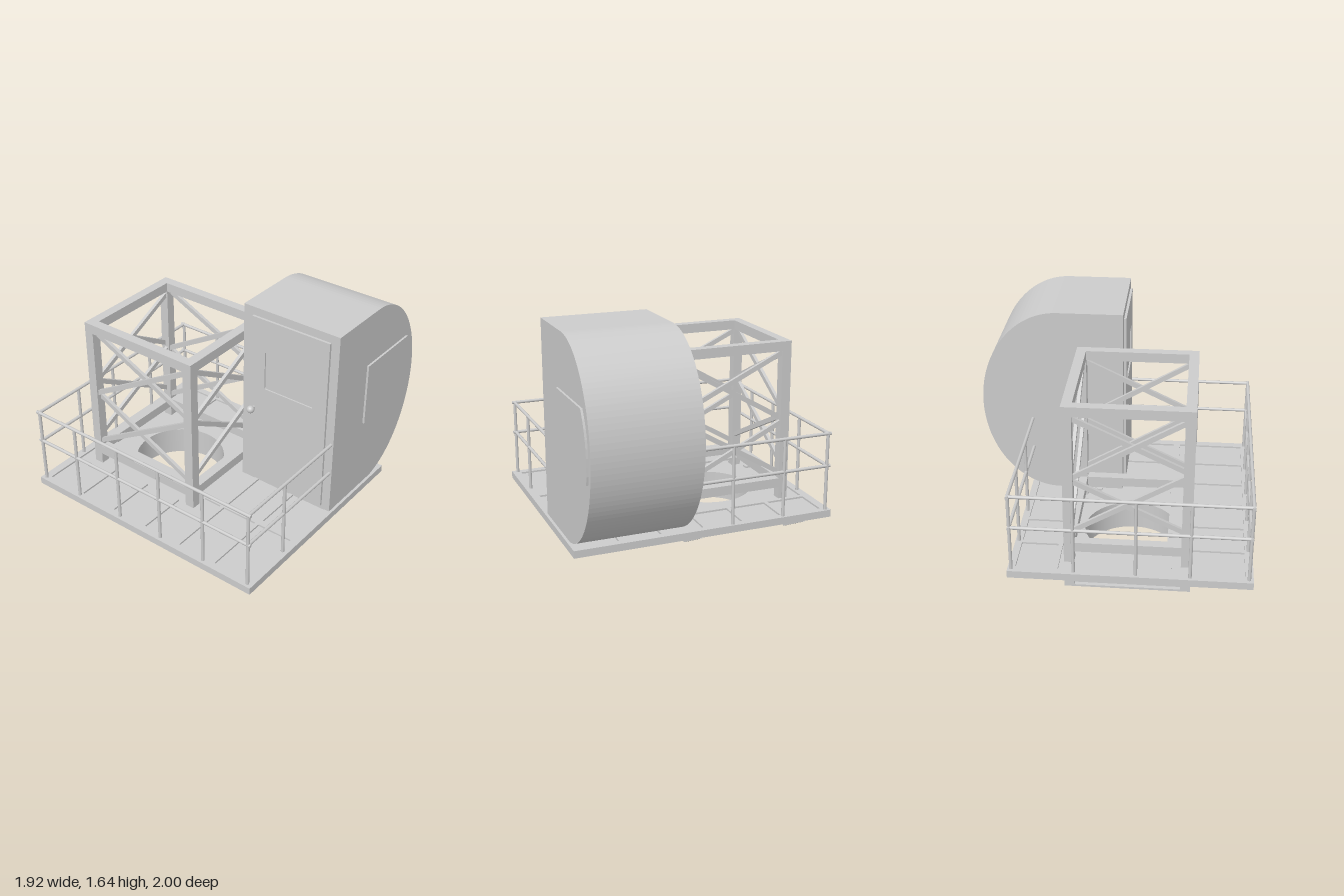
import * as THREE from 'three';

const grey = new THREE.MeshStandardMaterial({ color: 0xcccccc, flatShading: true });
const smooth = new THREE.MeshStandardMaterial({ color: 0xcccccc, side: THREE.DoubleSide });

export function createModel() {
  const model = new THREE.Group();
  const V = (x, y, z) => new THREE.Vector3(x, y, z);

  function group(name) {
    const g = new THREE.Group();
    g.name = name;
    model.add(g);
    return g;
  }
  function add(parent, name, geometry, material = grey) {
    const m = new THREE.Mesh(geometry, material);
    m.name = name;
    parent.add(m);
    return m;
  }
  // Box given by its limits on each axis
  function box(parent, name, x0, x1, y0, y1, z0, z1) {
    const m = add(parent, name, new THREE.BoxGeometry(x1 - x0, y1 - y0, z1 - z0));
    m.position.set((x0 + x1) / 2, (y0 + y1) / 2, (z0 + z1) / 2);
    return m;
  }
  // Square bar between two points
  function bar(parent, name, a, b, w = 0.035, d = w) {
    const m = add(parent, name, new THREE.BoxGeometry(w, d, a.distanceTo(b)));
    m.position.copy(a).lerp(b, 0.5);
    m.lookAt(b);
    return m;
  }
  // Round pipe between two points
  function pipe(parent, name, a, b, r = 0.012) {
    const m = add(parent, name, new THREE.CylinderGeometry(r, r, a.distanceTo(b), 12), smooth);
    m.position.copy(a).lerp(b, 0.5);
    m.quaternion.setFromUnitVectors(V(0, 1, 0), b.clone().sub(a).normalize());
    return m;
  }
  // Horizontal plate with the round hatch cut through it
  const hx = -0.335, hz = 0.14, hr = 0.33;
  function holedPlate(parent, name, x0, x1, y0, y1, z0, z1) {
    const s = new THREE.Shape([[x0, -z0], [x0, -z1], [x1, -z1], [x1, -z0]].map(p => new THREE.Vector2(...p)));
    s.holes.push(new THREE.Path().absarc(hx, -hz, hr, 0, Math.PI * 2, true));
    const g = new THREE.ExtrudeGeometry(s, { depth: y1 - y0, bevelEnabled: false, curveSegments: 48 });
    g.rotateX(-Math.PI / 2).translate(0, y0, 0);
    return add(parent, name, g);
  }

  // Tower limits
  const tx0 = -0.8, tx1 = 0.15, tz0 = -0.29, tz1 = 0.58, w = 0.07;

  // Deck: rim, thin floor and ribs showing on both faces
  const deck = group('deck');
  const y0 = 0.172, y1 = 0.225;
  holedPlate(deck, 'deckFloor', -0.93, 0.93, 0.192, 0.212, -0.63, 0.97);
  box(deck, 'rimFront', -0.96, 0.96, y0, y1, 0.945, 1);
  box(deck, 'rimBack', -0.96, 0.96, y0, y1, -0.66, -0.61);
  for (const s of [-1, 1]) box(deck, 'rimSide', s * 0.93 - 0.03, s * 0.93 + 0.03, y0, y1, -0.61, 0.945);
  const rib = (x0, x1, z0, z1) => box(deck, 'rib', x0, x1, y0, y1, z0, z1);
  for (const x of [-0.595, -0.295, 0, 0.31, 0.615]) {
    const inTower = x < tx1;
    rib(x - 0.015, x + 0.015, inTower ? tz1 : 0.45, 0.945);
    rib(x - 0.015, x + 0.015, -0.61, -0.35);
    if (!inTower) rib(x - 0.015, x + 0.015, -0.32, 0.4);
  }
  rib(-0.9, tx0, 0.4, 0.45);
  rib(tx1, 0.9, 0.4, 0.45);
  rib(-0.9, 0.9, -0.35, -0.32);
  rib(tx1, 0.9, -0.16, -0.12);

  // Base box under the deck with a round shaft through it
  const base = group('base');
  holedPlate(base, 'bottomPlate', -0.76, 0.11, 0, 0.012, -0.25, 0.54);
  holedPlate(base, 'bottomFlange', tx0, tx1, 0.01, 0.025, tz0, tz1);
  const shaft = add(base, 'hatchShaft', new THREE.CylinderGeometry(hr, hr, 0.205, 48, 1, true), smooth);
  shaft.position.set(hx, 0.108, hz);
  for (const x of [tx0 + 0.04, tx1 - 0.04]) box(base, 'basePanel', x - 0.01, x + 0.01, 0.02, 0.2, tz0 + 0.03, tz1 - 0.03);
  for (const z of [tz0 + 0.04, tz1 - 0.04]) box(base, 'basePanel', tx0 + 0.03, tx1 - 0.03, 0.02, 0.2, z - 0.01, z + 0.01);

  // Slanted struts holding the overhanging deck
  const struts = group('struts');
  for (const x of [-0.75, 0.05]) {
    bar(struts, 'strutFront', V(x, 0.06, 0.57), V(x, 0.17, 0.95), 0.022);
    bar(struts, 'strutBack', V(x, 0.03, -0.36), V(x, 0.17, -0.64), 0.022);
  }
  for (const z of [0.4, -0.32 + 0.06]) bar(struts, 'strutRight', V(0.14, 0.045, z), V(0.6, 0.175, z), 0.022);

  // Tower: posts, ring beams and crossed braces
  const tower = group('tower');
  for (const x of [tx0, tx1 - w]) for (const z of [tz0, tz1 - w]) box(tower, 'post', x, x + w, 0.012, 1.4, z, z + w);
  for (const [b0, b1] of [[1.33, 1.4], [0.3, 0.37]]) {
    for (const z of [tz0, tz1 - w]) box(tower, 'beamX', tx0 + w, tx1 - w, b0, b1, z, z + w);
    for (const x of [tx0, tx1 - w]) box(tower, 'beamZ', x, x + w, b0, b1, tz0 + w, tz1 - w);
  }
  box(tower, 'step', tx0 + w, tx1 - w, 0.295, 0.31, 0.41, tz1 - w);
  const xa = tx0 + w - 0.01, xb = tx1 - w + 0.01, za = tz1 - w + 0.01, zb = tz0 + w - 0.01;
  for (const [a, b] of [[1.32, 0.93], [0.83, 1.31], [0.8, 0.4], [0.41, 0.9]]) {
    const off = b > a ? 0.012 : -0.012;
    for (const z of [tz0 + w / 2, tz1 - w / 2]) bar(tower, 'brace', V(xa, a, z + off), V(xb, b, z + off), 0.024, 0.035);
  }
  for (const [a, b] of [[1.31, 0.87], [0.94, 1.3], [0.9, 0.46], [0.47, 0.83]]) {
    const off = b > a ? 0.012 : -0.012;
    for (const x of [tx0 + w / 2, tx1 - w / 2]) bar(tower, 'brace', V(x + off, a, za), V(x + off, b, zb), 0.024, 0.035);
  }

  // Railing: two rails all round up to the cab
  const railing = group('railing');
  const rx = 0.93, rf = 0.97, rb = -0.635;
  for (const y of [0.555, 0.795]) {
    pipe(railing, 'railFront', V(-rx - 0.02, y, rf), V(rx + 0.01, y, rf));
    pipe(railing, 'railLeftSide', V(-rx, y, rf + 0.01), V(-rx, y, rb - 0.01));
    pipe(railing, 'railRightSide', V(rx - 0.01, y, rf), V(rx - 0.01, y, 0.03));
    pipe(railing, 'railBack', V(-rx - 0.02, y, rb), V(0.2, y, rb));
  }
  const railPost = (x, z) => pipe(railing, 'railPost', V(x, y0 + 0.03, z), V(x, 0.795, z));
  for (const x of [-0.925, -0.585, -0.195, 0.175, 0.55, 0.92]) railPost(x, rf);
  for (const x of [-0.925, -0.585, -0.195]) railPost(x, rb);
  for (const z of [0.575, 0.21, -0.21]) railPost(-rx, z);
  railPost(rx - 0.01, 0.575);

  // Cab: side profile with a rounded back, drawn with shape x = -z
  const cab = group('cab');
  const cz = 0.44, cy = 0.93, ex = 0.56, ey = 0.71;
  function sideExtrude(name, shape, xFrom, xTo) {
    const g = new THREE.ExtrudeGeometry(shape, { depth: xTo - xFrom, bevelEnabled: false, curveSegments: 28 });
    g.rotateY(Math.PI / 2).translate(xFrom, 0, 0);
    return add(cab, name, g);
  }
  const profile = new THREE.Shape();
  profile.moveTo(-0.035, cy - ey);
  profile.lineTo(cz, cy - ey);
  profile.absellipse(cz, cy, ex, ey, -Math.PI / 2, Math.PI / 2, false);
  profile.lineTo(-0.035, cy + ey);
  profile.closePath();
  sideExtrude('cabBody', profile, 0.178, 0.94);

  // Side window whose rear edge follows the curve
  const win = new THREE.Shape();
  win.moveTo(0.34, 0.78);
  const edge = y => cz + (ex - 0.04) * Math.sqrt(1 - ((y - cy) / (ey - 0.15)) ** 2);
  for (let i = 0; i <= 8; i++) {
    const y = 0.78 + i * 0.47 / 8;
    win.lineTo(y < cy ? Math.min(0.96, edge(y) + 0.01) : edge(y), y);
  }
  win.lineTo(0.34, 1.25);
  win.closePath();
  sideExtrude('sideWindow', win, 0.93, 0.955);

  // Door with a recessed pane and a round knob
  const leaf = new THREE.Shape();
  leaf.moveTo(0.258, 0.26).lineTo(0.876, 0.26).lineTo(0.876, 1.58).lineTo(0.258, 1.58).closePath();
  const paneHole = new THREE.Path();
  paneHole.moveTo(0.37, 1.04).lineTo(0.37, 1.33).lineTo(0.767, 1.33).lineTo(0.767, 1.04).closePath();
  leaf.holes.push(paneHole);
  add(cab, 'door', new THREE.ExtrudeGeometry(leaf, { depth: 0.025, bevelEnabled: false })).position.z = 0.028;
  box(cab, 'doorPane', 0.365, 0.772, 1.035, 1.335, 0.02, 0.042);
  pipe(cab, 'knobStem', V(0.285, 0.858, 0.04), V(0.285, 0.858, 0.09), 0.011);
  add(cab, 'knob', new THREE.SphereGeometry(0.028, 20, 14), smooth).position.set(0.285, 0.858, 0.095);

  return model;
}
